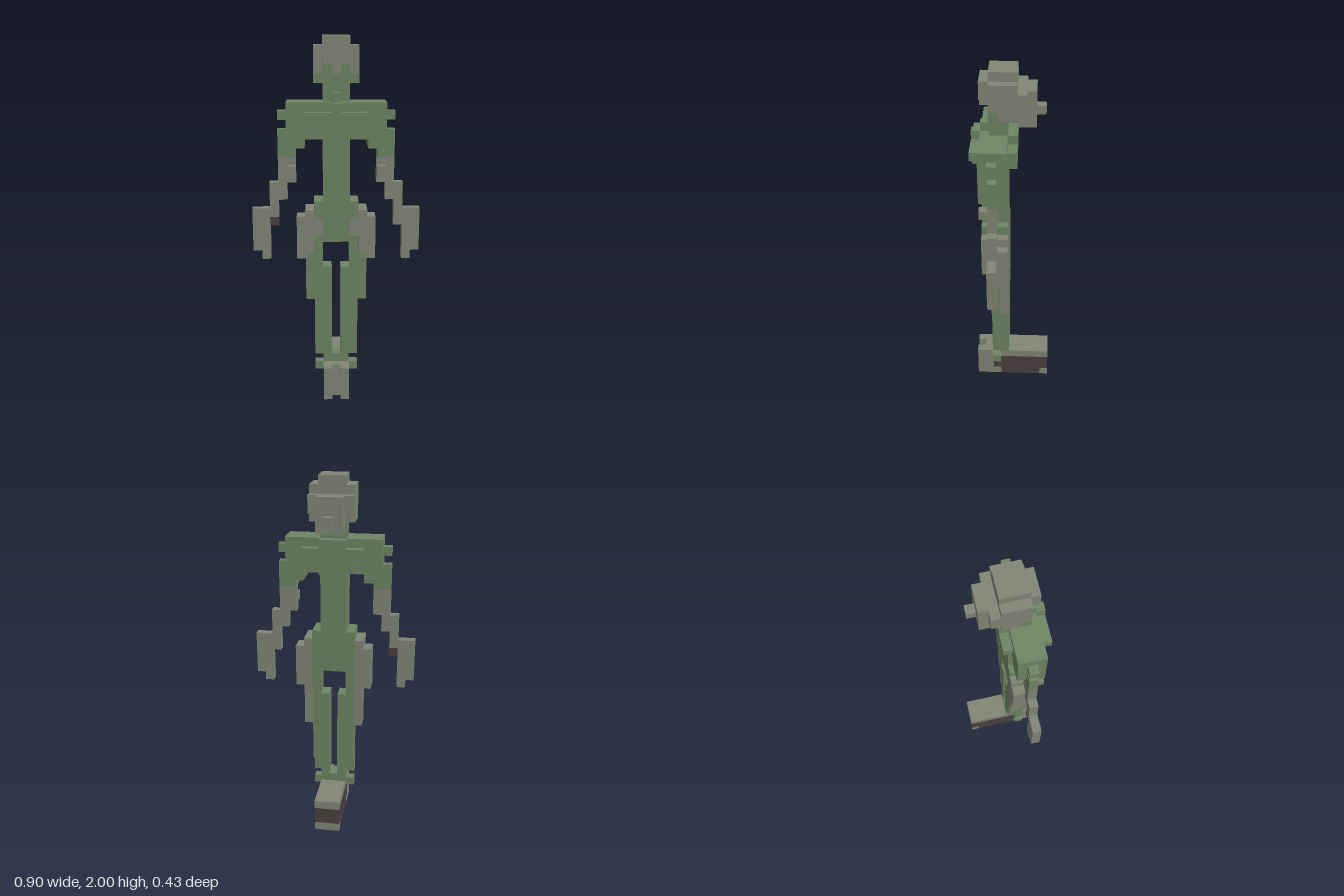
import * as THREE from 'three';

const U = 2 / 42; // edge of one cube
const mats = {};
for (const [name, hex] of [['green', 0x6e8664], ['grey', 0x828676], ['darkBrown', 0x4a4041]]) {
  mats[name] = new THREE.MeshStandardMaterial({ color: hex });
  mats[name].name = name;
}

// Cube faces: normal, and two in-plane axes whose cross product is the normal
const FACES = [
  [[1, 0, 0], [0, 1, 0], [0, 0, 1]], [[-1, 0, 0], [0, 0, 1], [0, 1, 0]],
  [[0, 1, 0], [0, 0, 1], [1, 0, 0]], [[0, -1, 0], [1, 0, 0], [0, 0, 1]],
  [[0, 0, 1], [1, 0, 0], [0, 1, 0]], [[0, 0, -1], [0, 1, 0], [1, 0, 0]],
];

export function createModel() {
  const cells = new Map();
  const key = (x, y, z) => `${x},${y},${z}`;

  // Fill an inclusive block of cubes; later blocks repaint earlier ones
  function fill(part, colour, [x0, x1], [y0, y1], [z0, z1]) {
    for (let x = x0; x <= x1; x++)
      for (let y = y0; y <= y1; y++)
        for (let z = z0; z <= z1; z++)
          cells.set(key(x, y, z), { part, colour, p: [x, y, z] });
  }
  function pair(part, colour, [x0, x1], ys, zs) {
    fill('left' + part, colour, [x0, x1], ys, zs);
    fill('right' + part, colour, [-x1, -x0], ys, zs);
  }

  // Boots, with a notch between the toes and a brown middle
  fill('boots', 'grey', [-1, 1], [0, 3], [-4, 3]);
  fill('boots', 'darkBrown', [-1, 1], [1, 2], [-4, 2]);
  fill('boots', 'darkBrown', [-1, 1], [0, 0], [-3, 1]);
  pair('Toe', 'grey', [1, 1], [0, 3], [4, 4]);
  pair('Ankle', 'green', [2, 2], [3, 3], [2, 2]);
  fill('ankles', 'green', [-1, 1], [4, 4], [1, 2]);

  // Legs
  pair('Leg', 'green', [1, 1], [5, 15], [1, 2]);
  pair('Leg', 'green', [2, 2], [5, 18], [2, 2]);
  pair('Leg', 'green', [2, 2], [7, 18], [1, 1]);
  pair('Leg', 'green', [3, 3], [12, 19], [2, 2]);

  // Pelvis, waist and chest
  fill('pelvis', 'green', [-2, 2], [20, 23], [1, 3]);
  fill('pelvis', 'green', [-2, 2], [19, 19], [1, 2]);
  fill('waist', 'green', [-1, 1], [24, 30], [1, 3]);
  fill('chest', 'green', [-5, 5], [31, 34], [1, 3]);

  // Raised cross on the chest and plate on the back
  for (const [y, h] of [[34, 0], [33, 3], [32, 1], [31, 0]])
    fill('chestCross', 'green', [-h, h], [y, y], [4, 4]);
  for (const [y, h] of [[34, 1], [33, 3], [32, 2], [31, 1]])
    fill('backPlate', 'green', [-h, h], [y, y], [0, 0]);

  // Hip pouches and straps down the back of the thighs
  pair('ThighStrap', 'grey', [3, 3], [12, 22], [1, 1]);
  pair('HipPouch', 'grey', [4, 4], [17, 21], [1, 2]);
  pair('HipPouch', 'grey', [3, 3], [20, 22], [2, 2]);
  pair('HipPouch', 'grey', [3, 3], [18, 22], [3, 3]);
  pair('HipPouch', 'grey', [2, 2], [20, 21], [3, 3]);

  // Arms
  pair('Shoulder', 'green', [6, 6], [33, 33], [2, 2]);
  pair('UpperArm', 'green', [6, 6], [29, 31], [2, 2]);
  pair('UpperArm', 'green', [4, 5], [30, 30], [1, 3]);
  pair('UpperArm', 'green', [5, 5], [29, 29], [2, 3]);
  pair('Elbow', 'grey', [5, 6], [26, 28], [2, 2]);
  pair('Elbow', 'grey', [5, 5], [27, 27], [3, 3]);
  pair('Forearm', 'grey', [6, 7], [24, 25], [2, 2]);
  pair('Forearm', 'grey', [7, 7], [21, 23], [2, 2]);
  pair('Hand', 'grey', [8, 8], [17, 22], [2, 2]);
  pair('Hand', 'grey', [9, 9], [18, 22], [2, 2]);
  fill('rightWristMark', 'darkBrown', [-7, -7], [21, 21], [2, 2]);

  // Neck and head
  fill('neck', 'green', [-1, 1], [35, 36], [1, 2]);
  fill('collar', 'green', [0, 0], [35, 35], [3, 3]);
  fill('face', 'green', [-1, 1], [37, 38], [0, 2]);
  fill('hair', 'grey', [-2, 2], [39, 40], [-1, 2]);
  fill('hair', 'grey', [-1, 1], [41, 41], [0, 2]);
  fill('fringe', 'grey', [-1, 1], [39, 40], [3, 3]);
  fill('fringe', 'grey', [0, 0], [38, 38], [3, 3]);
  pair('HairSide', 'grey', [2, 2], [38, 38], [-1, 2]);
  pair('HairSide', 'grey', [2, 2], [37, 37], [0, 1]);
  pair('Cheek', 'green', [2, 2], [37, 37], [2, 2]);

  // Hair bun with a small tip; the corner above it stays open
  for (let x = -2; x <= 2; x++) cells.delete(key(x, 40, -1));
  fill('hairBun', 'grey', [-1, 1], [36, 39], [-2, -1]);
  fill('bunTip', 'grey', [0, 0], [37, 37], [-3, -3]);

  // One mesh per part and colour, made of the exposed cube faces
  const batches = new Map();
  for (const { part, colour, p } of cells.values()) {
    const id = part + '|' + colour;
    if (!batches.has(id)) batches.set(id, { part, colour, pos: [], nor: [], idx: [] });
    const b = batches.get(id);
    for (const [n, u, v] of FACES) {
      if (cells.has(key(p[0] + n[0], p[1] + n[1], p[2] + n[2]))) continue;
      const base = b.pos.length / 3;
      for (const [s, t] of [[-1, -1], [1, -1], [1, 1], [-1, 1]]) {
        for (let a = 0; a < 3; a++) {
          const c = p[a] + (a === 1 ? 0.5 : 0);
          b.pos.push((c + (n[a] + s * u[a] + t * v[a]) / 2) * U);
        }
        b.nor.push(...n);
      }
      b.idx.push(base, base + 1, base + 2, base, base + 2, base + 3);
    }
  }

  const group = new THREE.Group();
  group.name = 'blockFigure';
  for (const { part, colour, pos, nor, idx } of batches.values()) {
    if (!idx.length) continue;
    const geo = new THREE.BufferGeometry();
    geo.setAttribute('position', new THREE.Float32BufferAttribute(pos, 3));
    geo.setAttribute('normal', new THREE.Float32BufferAttribute(nor, 3));
    geo.setIndex(idx);
    const mesh = new THREE.Mesh(geo, mats[colour]);
    mesh.name = part;
    group.add(mesh);
  }
  return group;
}
